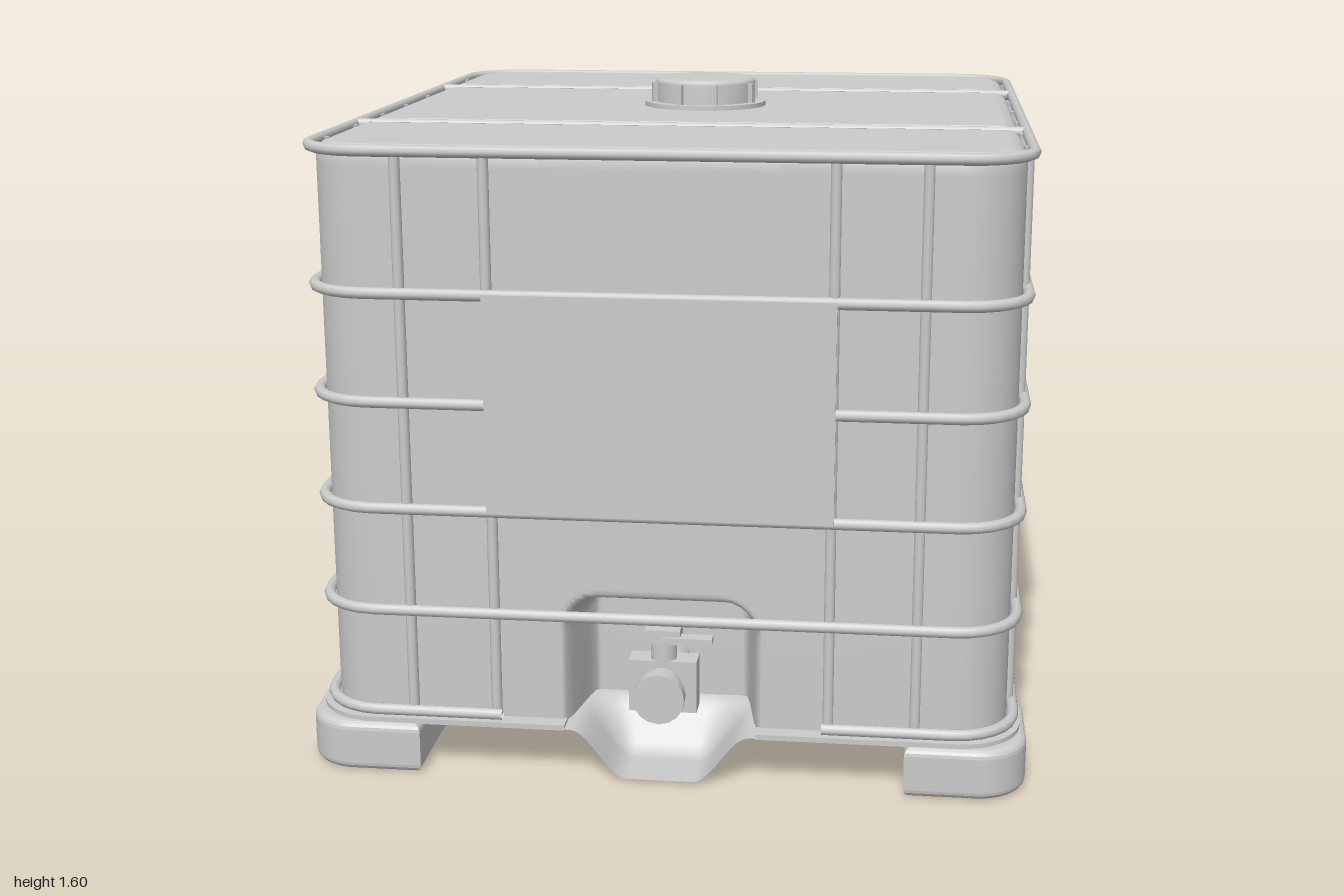
import * as THREE from 'three';

const mat = new THREE.MeshStandardMaterial({ color: 0xcccccc, roughness: 0.7, side: THREE.DoubleSide });
const smooth = THREE.MathUtils.smoothstep;

function add(parent, name, geo, x = 0, y = 0, z = 0) {
  const m = new THREE.Mesh(geo, mat);
  m.name = name;
  m.position.set(x, y, z);
  parent.add(m);
  return m;
}

const box = (w, h, d) => new THREE.BoxGeometry(w, h, d);
const rod = (r, len, sides = 10) => new THREE.CylinderGeometry(r, r, len, sides);

// Rounded rectangle path, starting and ending at the front with a half gap g
function roundRect(hx, hz, r, g = 0) {
  const s = new THREE.Shape();
  s.moveTo(g, hz);
  s.lineTo(hx - r, hz);
  s.absarc(hx - r, hz - r, r, Math.PI / 2, 0, true);
  s.lineTo(hx, -hz + r);
  s.absarc(hx - r, -hz + r, r, 0, -Math.PI / 2, true);
  s.lineTo(-hx + r, -hz);
  s.absarc(-hx + r, -hz + r, r, -Math.PI / 2, -Math.PI, true);
  s.lineTo(-hx, hz - r);
  s.absarc(-hx + r, hz - r, r, Math.PI, Math.PI / 2, true);
  s.lineTo(-g, hz);
  return s;
}

// Horizontal cage tube
function hoop(y, gap) {
  const pts = roundRect(0.841, 0.961, 0.15, gap).getSpacedPoints(160).map(p => new THREE.Vector3(p.x, y, p.y));
  if (!gap) pts.pop();
  return new THREE.TubeGeometry(new THREE.CatmullRomCurve3(pts, !gap), 180, 0.014, 8, !gap);
}

// Outline of the tank with outward directions, mirrored about x = 0
function tankOutline(hx, hz, r) {
  const half = [];
  for (let i = 0; i <= 28; i++) half.push([i * 0.01, hz, 0, 1]);
  half.push([0.45, hz, 0, 1]);
  const corner = (cz, a0) => {
    for (let i = 0; i <= 10; i++) {
      const a = a0 - (i / 10) * Math.PI / 2, c = Math.cos(a), s = Math.sin(a);
      half.push([hx - r + r * c, cz + r * s, c, s]);
    }
  };
  corner(hz - r, Math.PI / 2);
  for (const c of [0.45, -0.45]) {
    for (let i = -8; i <= 8; i++) half.push([hx, c - i * 0.006, 1, 0]);
    if (c > 0) half.push([hx, 0, 1, 0]);
  }
  corner(-hz + r, 0);
  half.push([0.3, -hz, 0, -1], [0, -hz, 0, -1]);
  const mirror = half.slice(1, -1).reverse().map(([x, z, nx, nz]) => [-x, z, -nx, nz]);
  return [...half, ...mirror];
}

// Depth of the valve pocket in the front wall
function pocket(x, y) {
  const r = 0.09, qx = Math.abs(x) - 0.235 + r, qy = y - 0.455 + r;
  const d = Math.hypot(Math.max(qx, 0), Math.max(qy, 0)) + Math.min(Math.max(qx, qy), 0) - r;
  return 0.2 * smooth(-d, 0, 0.05);
}

// Depth of the two grooves across the top
function groove(z) {
  const d = Math.abs(Math.abs(z) - 0.45);
  return d < 0.042 ? 0.05 * Math.sqrt(1 - (d / 0.042) ** 2) : 0;
}

function tankGeometry() {
  const outline = tankOutline(0.826, 0.945, 0.14), n = outline.length;
  const rows = [];
  for (let y = 0.13; y < 0.48; y += 0.01) rows.push([y, 0]);
  for (const y of [0.7, 1, 1.38, 1.41, 1.44, 1.47, 1.49]) rows.push([y, 0]);
  rows.push([1.504, 0.005], [1.514, 0.016], [1.52, 0.035]);
  const pos = [], idx = [];
  const ring = (y, inset) => outline.forEach(([x, z, nx, nz]) => {
    const dent = z > 0.94 && Math.abs(x) < 0.3 ? pocket(x, y) : 0;
    pos.push(x - nx * inset, y - groove(z) * smooth(y, 1.4, 1.5), z - nz * inset - dent);
  });
  rows.forEach(([y, inset], j) => {
    ring(y, inset);
    if (!j) return;
    for (let i = 0; i < n; i++) {
      const a = (j - 1) * n + i, b = (j - 1) * n + (i + 1) % n;
      idx.push(a, b, a + n, b, b + n, a + n);
    }
  });
  // Top skin spans between mirrored outline points
  const base = pos.length / 3;
  ring(1.52, 0.035);
  for (let i = 0; i < n / 2; i++) {
    const a = base + i, b = a + 1, c = base + (n - i - 1) % n, d = base + (n - i) % n;
    if (Math.abs(pos[a * 3 + 2] - pos[b * 3 + 2]) > 1e-6) idx.push(a, b, c, a, c, d);
  }
  const g = new THREE.BufferGeometry();
  g.setAttribute('position', new THREE.Float32BufferAttribute(pos, 3));
  g.setIndex(idx);
  g.computeVertexNormals();
  return g;
}

// Pallet deck with a notch at the front for the drain trough
function deckGeometry() {
  const s = roundRect(0.857, 0.985, 0.15, 0.23);
  s.lineTo(-0.23, 0.74);
  s.lineTo(0.23, 0.74);
  s.closePath();
  return new THREE.ExtrudeGeometry(s, { depth: 0.013, bevelEnabled: false, curveSegments: 10 }).rotateX(Math.PI / 2);
}

// Square foot with one generously rounded outer corner
function footGeometry() {
  const h = 0.125, r = 0.1, s = new THREE.Shape();
  s.moveTo(-h, -h);
  s.lineTo(h, -h);
  s.lineTo(h, h - r);
  s.absarc(h - r, h - r, r, 0, Math.PI / 2, false);
  s.lineTo(-h, h);
  s.closePath();
  return new THREE.ExtrudeGeometry(s, { depth: 0.085, bevelSize: 0.02, bevelThickness: 0.02, bevelSegments: 4, curveSegments: 10 })
    .rotateX(Math.PI / 2);
}

// Drain trough sunk below the deck
function troughGeometry() {
  const g = new THREE.PlaneGeometry(0.47, 0.26, 40, 16).rotateX(-Math.PI / 2).translate(0, 0, 0.86);
  const p = g.attributes.position;
  for (let i = 0; i < p.count; i++) {
    const across = 1 - smooth(Math.abs(p.getX(i)), 0.08, 0.215);
    p.setY(i, 0.128 - 0.12 * across * smooth(p.getZ(i), 0.74, 0.86));
  }
  g.computeVertexNormals();
  return g;
}

export function createModel() {
  const root = new THREE.Group();
  root.name = 'cagedLiquidTank';
  add(root, 'tank', tankGeometry());

  // Cage
  const cage = new THREE.Group();
  cage.name = 'cage';
  root.add(cage);
  for (const y of [1.51, 1.18, 0.92, 0.66, 0.405, 0.147]) add(cage, 'hoop', hoop(y, y < 0.2 ? 0.385 : 0));
  for (const s of [-1, 1]) {
    for (const x of [0.4, 0.605]) add(cage, 'frontBar', rod(0.013, 1.37), s * x, 0.828, 0.951);
    for (const z of [0.74, 0.5, 0.25, 0.016, -0.22, -0.465, -0.71]) {
      add(cage, 'sideBar', rod(0.013, 1.37), s * 0.832, 0.828, z);
    }
    add(cage, 'topBar', rod(0.014, 1.67), 0, 1.51, s * 0.45).rotation.z = Math.PI / 2;
  }
  add(cage, 'frontPlate', box(0.815, 0.525, 0.012), 0, 0.922, 0.971);

  // Filler lid
  const lid = new THREE.Group();
  lid.name = 'lid';
  lid.position.set(0, 1.52, -0.01);
  root.add(lid);
  add(lid, 'lidFlange', rod(0.163, 0.014, 48), 0, 0.005, 0);
  const profile = [[0.135, 0], [0.135, 0.062], [0.132, 0.07], [0.122, 0.076], [0, 0.076]];
  add(lid, 'lidCap', new THREE.LatheGeometry(profile.map(p => new THREE.Vector2(...p)), 48));
  for (let i = 0; i < 8; i++) {
    const a = (i + 0.5) * Math.PI / 4;
    add(lid, 'lidRib', box(0.016, 0.055, 0.018), 0.138 * Math.sin(a), 0.036, 0.138 * Math.cos(a)).rotation.y = a;
  }

  // Drain valve
  const valve = new THREE.Group();
  valve.name = 'valve';
  valve.position.set(0, 0.22, 0);
  root.add(valve);
  const lying = (name, r, len, z, sides = 32) => add(valve, name, rod(r, len, sides), 0, 0, z).rotation.x = Math.PI / 2;
  lying('valvePipe', 0.05, 0.16, 0.8);
  add(valve, 'valveBody', box(0.165, 0.13, 0.06), 0, 0, 0.89);
  lying('valveOutlet', 0.048, 0.08, 0.94);
  lying('valveNut', 0.062, 0.035, 0.9825, 16);
  add(valve, 'valveStem', rod(0.032, 0.06, 20), 0, 0.085, 0.89);
  add(valve, 'handleHub', box(0.085, 0.035, 0.06), 0, 0.125, 0.89);
  add(valve, 'handleLever', box(0.12, 0.014, 0.035), 0.06, 0.12, 0.91);

  // Pallet
  const pallet = new THREE.Group();
  pallet.name = 'pallet';
  root.add(pallet);
  add(pallet, 'deck', deckGeometry(), 0, 0.136, 0);
  add(pallet, 'drainTrough', troughGeometry());
  [[1, 1], [1, -1], [-1, -1], [-1, 1]].forEach(([sx, sz], k) => {
    add(pallet, 'foot', footGeometry(), sx * 0.727, 0.105, sz * 0.855).rotation.y = k * Math.PI / 2;
  });
  for (const s of [-1, 1]) add(pallet, 'runner', box(0.24, 0.012, 1.46), s * 0.727, 0.014, 0);
  return root;
}
